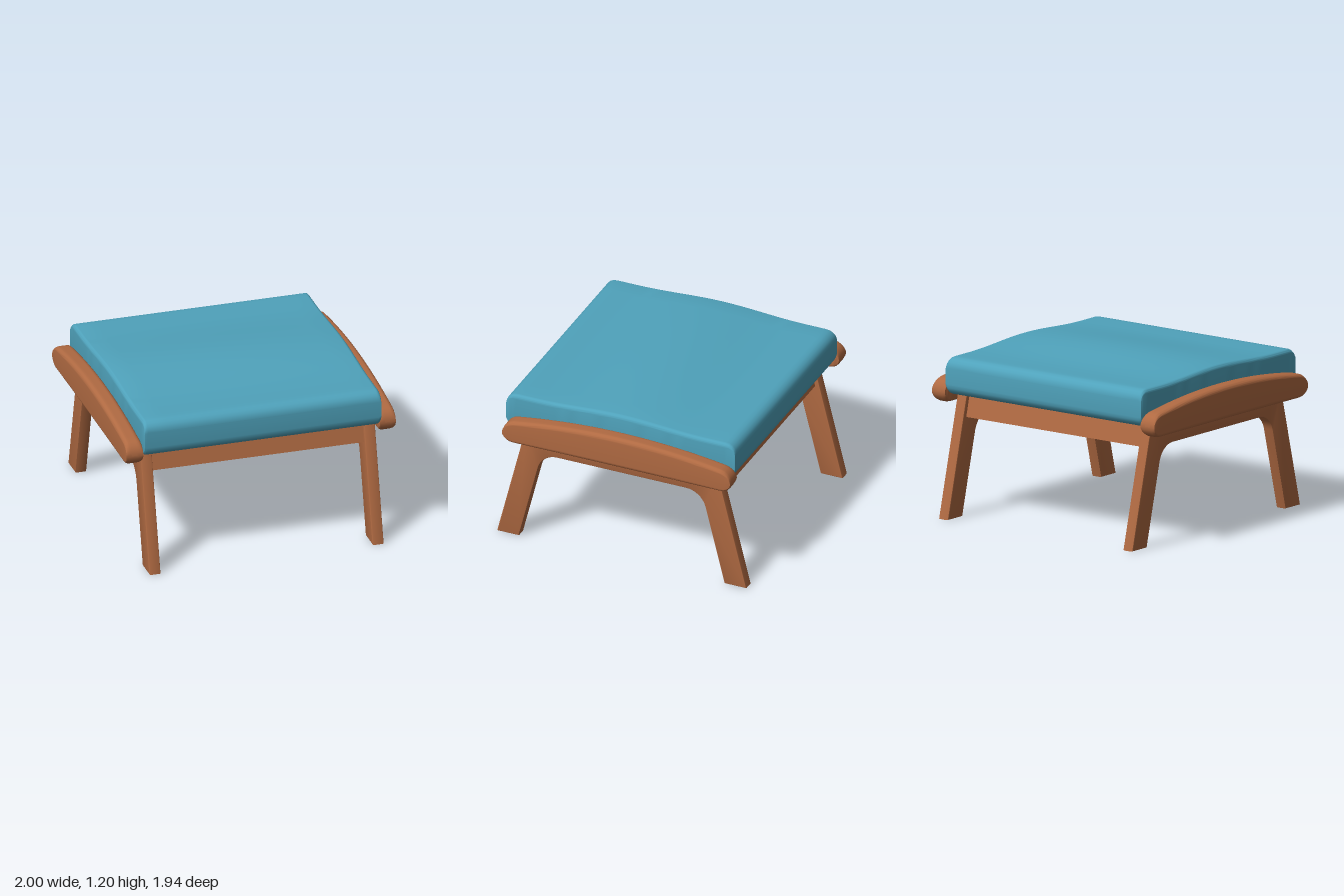
import * as THREE from 'three';
import { toCreasedNormals } from 'three/addons/utils/BufferGeometryUtils.js';

// Rounded-rectangle section swept along z; bottom and top heights follow rules, ends are rounded off.
function loft({ x0, x1, r, zc, half, endR, bottom, top }) {
  const H = 0.25, s = new THREE.Shape();
  s.moveTo(x0 + r, 0);
  s.lineTo(x1 - r, 0);
  s.absarc(x1 - r, r, r, -Math.PI / 2, 0, false);
  s.absarc(x1 - r, H - r, r, 0, Math.PI / 2, false);
  for (let i = 1; i < 12; i++) s.lineTo(x1 - r + (x0 - x1 + 2 * r) * i / 12, H);
  s.absarc(x0 + r, H - r, r, Math.PI / 2, Math.PI, false);
  s.absarc(x0 + r, r, r, Math.PI, Math.PI * 1.5, false);
  const g = new THREE.ExtrudeGeometry(s, { depth: 1, steps: 36, curveSegments: 5, bevelEnabled: false });
  const p = g.attributes.position;
  for (let i = 0; i < p.count; i++) {
    const x = p.getX(i), z = Math.sin((p.getZ(i) - 0.5) * Math.PI) * half;
    const d = Math.min(endR, Math.max(0, Math.abs(z) - half + endR));
    const drop = endR - Math.sqrt(endR * endR - d * d);
    const lo = bottom + drop, hi = top(x, z) - drop;
    p.setXYZ(i, x, lo + (hi - lo) * p.getY(i) / H, z + zc);
  }
  return toCreasedNormals(g, 0.6);
}

// One side frame: two splayed legs joined by a curved apron, profile drawn in z and y.
function sideFrame(width) {
  const s = new THREE.Shape();
  s.moveTo(0.97, 0);
  s.lineTo(0.75, 0.885);
  s.lineTo(-0.75, 0.885);
  s.lineTo(-0.97, 0);
  s.lineTo(-0.8, 0);
  s.lineTo(-0.65, 0.6);
  s.bezierCurveTo(-0.63, 0.67, -0.57, 0.715, -0.5, 0.715);
  s.lineTo(0.5, 0.715);
  s.bezierCurveTo(0.57, 0.715, 0.63, 0.67, 0.65, 0.6);
  s.lineTo(0.8, 0);
  s.closePath();
  const b = 0.008;
  const g = new THREE.ExtrudeGeometry(s, {
    depth: width - 2 * b, bevelThickness: b, bevelSize: b, bevelOffset: -b, bevelSegments: 2, curveSegments: 8,
  });
  g.translate(0, 0, b - width / 2).rotateY(Math.PI / 2);
  return toCreasedNormals(g, 0.5);
}

export function createModel() {
  const model = new THREE.Group();
  model.name = 'footstool';
  const wood = new THREE.MeshStandardMaterial({ color: 0xb06a42 });
  wood.name = 'warm wood';
  const fabric = new THREE.MeshStandardMaterial({ color: 0x4fa2bb });
  fabric.name = 'teal fabric';
  const add = (name, geometry, material) => {
    const m = new THREE.Mesh(geometry, material);
    m.name = name;
    model.add(m);
    return m;
  };

  // Cushion with a soft hump across its middle
  const hump = z => Math.abs(z) < 0.65 ? 0.5 + 0.5 * Math.cos(Math.PI * z / 0.65) : 0;
  add('cushion', loft({
    x0: -0.872, x1: 0.886, r: 0.028, zc: 0.006, half: 0.892, endR: 0.075, bottom: 0.885,
    top: (x, z) => 1.157 + hump(z) * (0.028 + 0.02 * (1 - (x / 0.88) ** 2)),
  }), fabric);

  // Arched side rails
  for (const [name, x0, x1] of [['rightSideRail', -1, -0.876], ['leftSideRail', 0.882, 1]]) {
    add(name, loft({
      x0, x1, r: 0.036, zc: -0.01, half: 0.888, endR: 0.08, bottom: 0.823,
      top: (x, z) => 1.065 - 0.08 * z * z / 0.79,
    }), wood);
  }

  // Legs and aprons on each side
  add('rightSideFrame', sideFrame(0.083), wood).position.x = -0.817;
  add('leftSideFrame', sideFrame(0.083), wood).position.x = 0.841;

  // Cross rails, leaning with the legs
  for (const side of [1, -1]) {
    const rail = add(side > 0 ? 'frontRail' : 'backRail', new THREE.BoxGeometry(1.58, 0.18, 0.065), wood);
    rail.position.set(0.012, 0.794, side * 0.705);
    rail.rotation.x = -side * 0.24;
  }
  return model;
}
